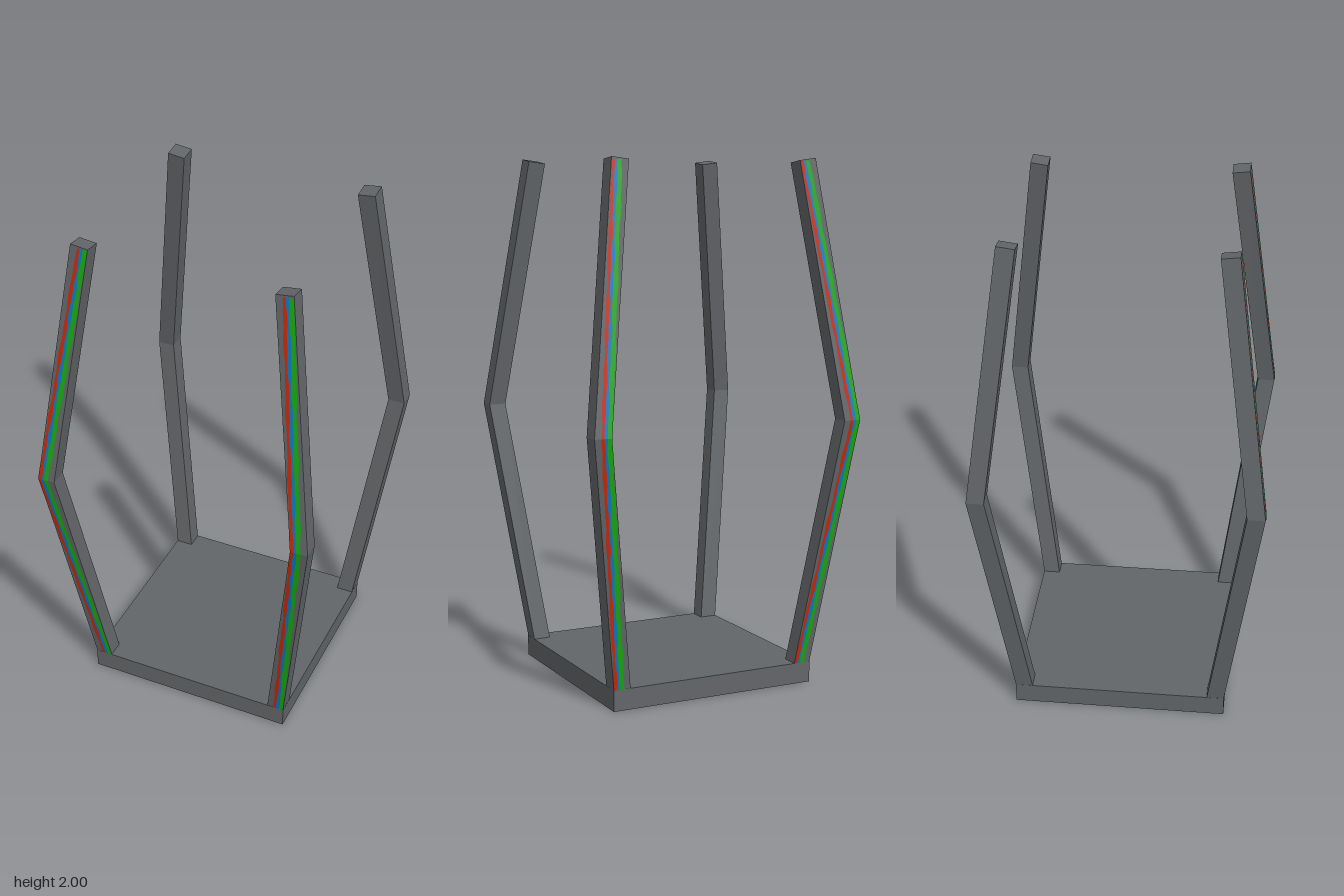
import * as THREE from 'three';

function flatColour(name, hex) {
  const material = new THREE.MeshStandardMaterial({ color: hex });
  material.name = name;
  return material;
}
const grey = flatColour('dark grey', 0x626568);
const red = flatColour('red', 0xc42a0c);
const blue = flatColour('blue', 0x0a7ac4);
const green = flatColour('green', 0x1aa812);

const HALF = 0.0335;                       // half the thickness of a post
const BASE_Y = 0.08, KNEE_Y = 1.03, TOP_Y = 1.9915;
const END_R = 0.382, KNEE_R = 0.511;       // distance of the post axis from x = 0 and z = 0

function geometryFrom(positions) {
  const g = new THREE.BufferGeometry();
  g.setAttribute('position', new THREE.Float32BufferAttribute(positions, 3));
  g.computeVertexNormals();
  return g;
}

// Two triangles, corners counter-clockwise seen from outside
function quad(out, a, b, c, d) {
  for (const p of [a, b, c, a, c, d]) out.push(...p);
}

// Distance of the bent post axis from the middle at height y
function axisAt(y) {
  const t = y < KNEE_Y ? (KNEE_Y - y) / (KNEE_Y - BASE_Y) : (y - KNEE_Y) / (TOP_Y - KNEE_Y);
  return { r: KNEE_R + (END_R - KNEE_R) * t, t };
}

// Square post bowed outwards, with a slightly slanted top
function postGeometry(sx, sz) {
  const corners = [[-1, 1], [1, 1], [1, -1], [-1, -1]];
  const rings = [BASE_Y, KNEE_Y, TOP_Y].map((y) => {
    const r = axisAt(y).r;
    const slant = y === TOP_Y ? 0.0043 : 0;
    return corners.map(([u, w]) => [sx * r + u * HALF, y + slant * (sx * u + sz * w), sz * r + w * HALF]);
  });
  const out = [];
  for (let k = 0; k < 2; k++) {
    for (let i = 0; i < 4; i++) {
      const j = (i + 1) % 4;
      quad(out, rings[k][i], rings[k][j], rings[k + 1][j], rings[k + 1][i]);
    }
  }
  quad(out, ...rings[2]);
  return geometryFrom(out);
}

// Edges of the three painted bands, from the red side to the green side
const EDGES = [0, 0.013, 0.024, 0.042];

// Offset of a band edge from the post axis along x; the bands drift towards +x at both ends
function edgeAt(i, y, sz) {
  const wobble = 0.0016 * Math.sin(y * 23 + i * 2.1) + 0.0014 * Math.sin(y * 51 + i * 4.3);
  const across = sz > 0 ? EDGES[i] : EDGES[3] - EDGES[i];
  return THREE.MathUtils.clamp(across + 0.026 * axisAt(y).t + wobble, 0, 2 * HALF) - HALF;
}

// Thin wavy band lying on the outer face of a post
function bandGeometry(sx, sz, i) {
  const out = [];
  const point = (edge, y) => {
    const r = axisAt(y).r;
    return [sx * r + edgeAt(edge, y, sz), y, sz * (r + HALF + 0.0015)];
  };
  const span = (y0, y1, steps) => {
    for (let k = 0; k < steps; k++) {
      const a = y0 + ((y1 - y0) * k) / steps;
      const b = y0 + ((y1 - y0) * (k + 1)) / steps;
      quad(out, point(i, a), point(i + 1, a), point(i + 1, b), point(i, b));
    }
  };
  span(BASE_Y, KNEE_Y, 40);
  span(KNEE_Y, 1.99, 40);
  return geometryFrom(out);
}

export function createModel() {
  const model = new THREE.Group();
  model.name = 'fourPostFrame';

  // Square base plate
  const base = new THREE.Mesh(new THREE.BoxGeometry(0.832, BASE_Y, 0.832), grey);
  base.name = 'basePlate';
  base.position.y = BASE_Y / 2;
  model.add(base);

  // Four corner posts with coloured bands on the front and back faces
  for (const sz of [1, -1]) {
    for (const sx of [1, -1]) {
      const group = new THREE.Group();
      group.name = (sz > 0 ? 'front' : 'back') + (sx > 0 ? 'Left' : 'Right') + 'Post';
      const post = new THREE.Mesh(postGeometry(sx, sz), grey);
      post.name = 'post';
      group.add(post);
      [red, blue, green].forEach((material, i) => {
        const band = new THREE.Mesh(bandGeometry(sx, sz, i), material);
        band.name = material.name + 'Band';
        group.add(band);
      });
      model.add(group);
    }
  }
  return model;
}
